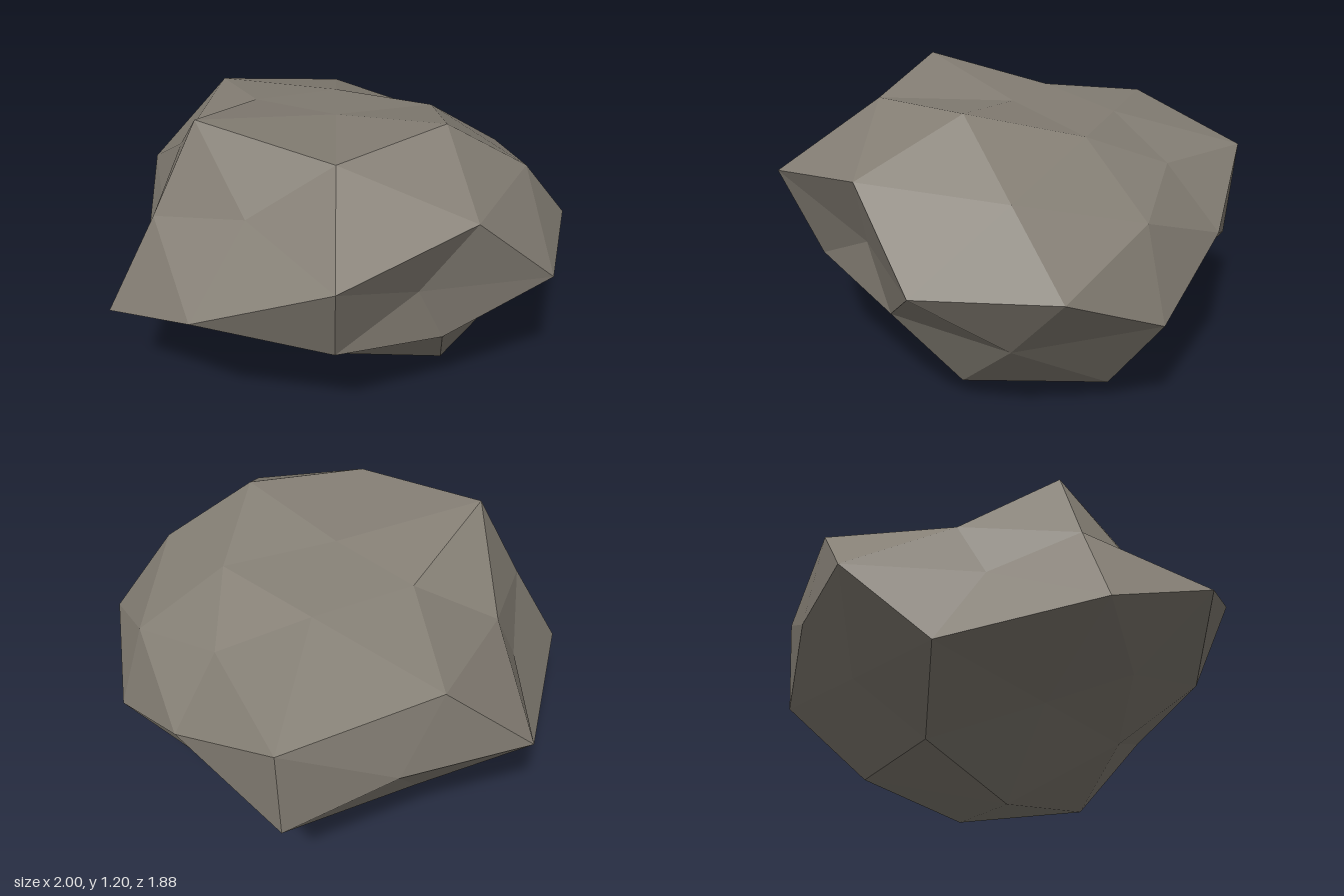
import * as THREE from 'three';

// Radii for each family of subdivided-icosahedron directions, named by rounded |x|,|y|,|z|.
// Order inside a family: +++ ++- +-+ +-- -++ -+- --+ --- (a zero counts as plus).
const RADII = {
  '1.0,0.0,0.0': [0.992, 0, 0, 0, 1.008],
  '0.0,1.0,0.0': [0.69, 0, 1.02],
  '0.0,0.0,1.0': [1.0, 0.875],
  '0.5,0.9,0.0': [0.951, 0, 1.028, 0, 0.768, 0, 0.957],
  '0.0,0.5,0.9': [0.755, 0.766, 0.74, 0.738],
  '0.9,0.0,0.5': [0.705, 0.98, 0, 0, 0.745, 0.895],
  '0.3,0.8,0.5': [0.926, 0.775, 0.795, 1.083, 1.03, 0.73, 0.72, 1.025],
  '0.5,0.3,0.8': [1.013, 0.85, 0.845, 0.97, 0.843, 1.045, 1.073, 1.01],
  '0.8,0.5,0.3': [0.98, 0.905, 0.81, 0.89, 0.785, 1.013, 1.03, 0.82],
};

function radiusAlong(d) {
  const family = d.toArray().map((c) => Math.abs(c).toFixed(1)).join(',');
  const neg = (c) => (c < -1e-4 ? 1 : 0);
  return RADII[family][neg(d.x) * 4 + neg(d.y) * 2 + neg(d.z)];
}

export function createModel() {
  const stone = new THREE.MeshStandardMaterial({ color: 0x857f75, flatShading: true });
  stone.name = 'warm grey stone';

  // Faceted boulder: a ball of 80 faces, pushed in and out, then squashed
  const geometry = new THREE.IcosahedronGeometry(1, 1);
  const pos = geometry.attributes.position;
  const d = new THREE.Vector3();
  for (let i = 0; i < pos.count; i++) {
    d.fromBufferAttribute(pos, i).normalize();
    d.multiplyScalar(radiusAlong(d));
    pos.setXYZ(i, d.x, d.y * 0.65, d.z);
  }
  geometry.translate(0.008, 0.663, -0.064);
  geometry.computeVertexNormals();

  const boulder = new THREE.Mesh(geometry, stone);
  boulder.name = 'boulder';

  const group = new THREE.Group();
  group.name = 'rock';
  group.add(boulder);
  return group;
}
